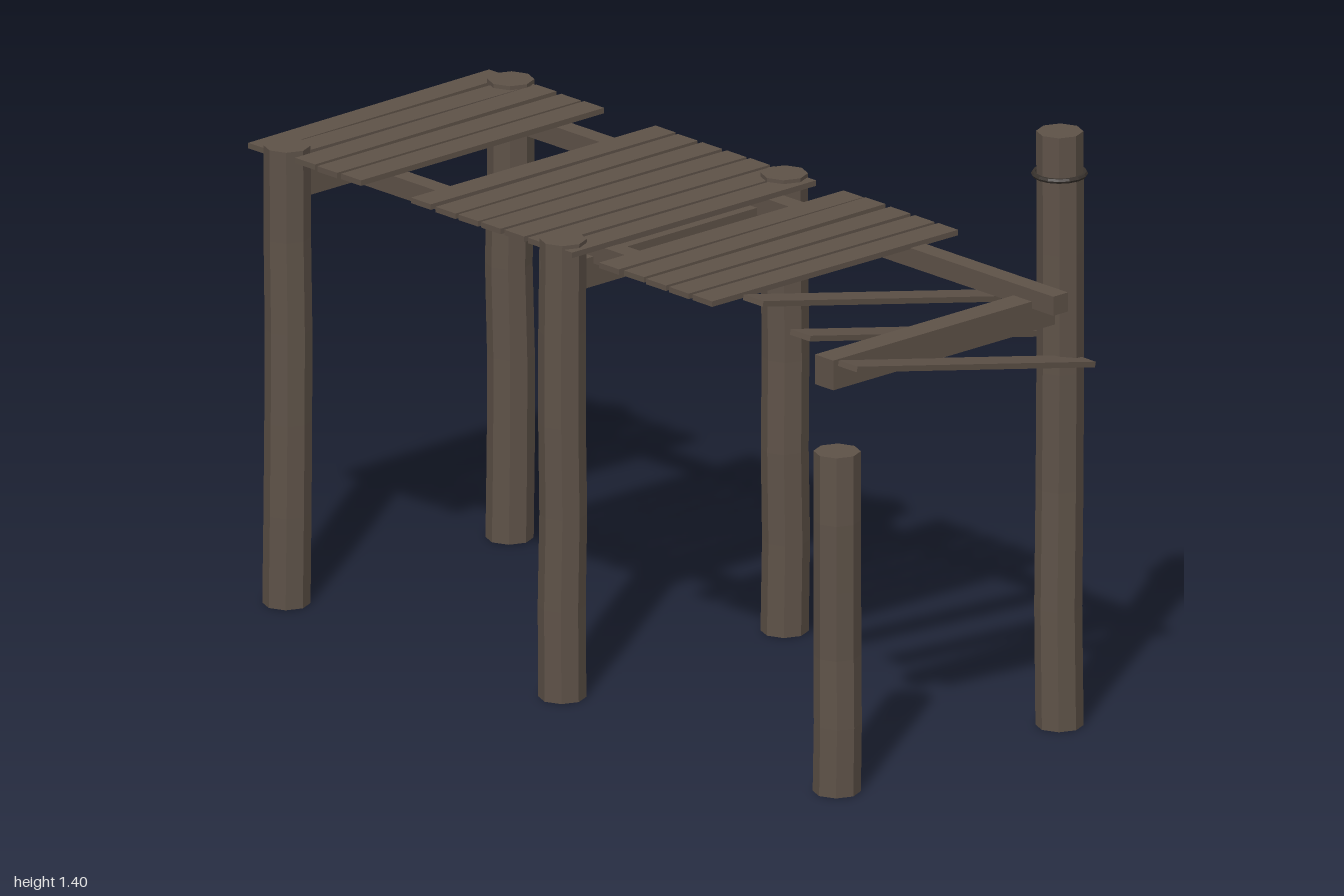
import * as THREE from 'three';

// small seeded random in -1..1
function seeded(seed) {
  let s = seed;
  return () => {
    s = (s * 16807) % 2147483647;
    return (s / 2147483647) * 2 - 1;
  };
}

export function createModel() {
  const pier = new THREE.Group();
  pier.name = 'brokenPier';
  const wood = new THREE.MeshStandardMaterial({ color: 0x5e5248, flatShading: true });
  wood.name = 'weatheredWood';
  const iron = new THREE.MeshStandardMaterial({ color: 0x38322d, flatShading: true });
  iron.name = 'darkBand';
  const rand = seeded(4711);

  function add(name, geometry, x, y, z, material = wood) {
    const mesh = new THREE.Mesh(geometry, material);
    mesh.name = name;
    mesh.position.set(x, y, z);
    pier.add(mesh);
    return mesh;
  }

  // eight-sided posts, each ring of corners shifted a little
  function post(name, x, z, height) {
    const rows = 5;
    const geo = new THREE.CylinderGeometry(0.053, 0.054, height, 8, rows);
    const shifts = Array.from({ length: rows + 1 }, () => [rand() * 0.003, rand() * 0.003]);
    const p = geo.attributes.position;
    for (let i = 0; i < p.count; i++) {
      const row = Math.round((p.getY(i) / height + 0.5) * rows);
      p.setX(i, p.getX(i) + shifts[row][0]);
      p.setZ(i, p.getZ(i) + shifts[row][1]);
    }
    geo.computeVertexNormals();
    add(name, geo, x, height / 2, z);
  }
  for (const x of [-0.9, 0]) {
    post('frontPost', x, 0.34, 1.08);
    post('backPost', x, -0.34, 1.08);
  }
  post('brokenPost', 0.9, 0.34, 0.8);
  post('tallPost', 0.9, -0.34, 1.4);

  // band round the tall post
  const band = add('postBand', new THREE.TorusGeometry(0.058, 0.006, 6, 16), 0.9, 1.3, -0.34, iron);
  band.rotation.x = Math.PI / 2;

  // cross beams between the posts
  for (const x of [-0.9, 0, 0.9]) {
    add('crossBeam', new THREE.BoxGeometry(0.06, 0.07, 0.76), x, 0.995, 0);
  }

  // long beams; the front one is snapped off
  add('backStringer', new THREE.BoxGeometry(2, 0.045, 0.045), 0, 1.036, -0.25);
  const snapped = new THREE.Shape();
  [[-1, 0], [0.42, 0], [0.455, 0.02], [0.43, 0.03], [0.46, 0.045], [-1, 0.045]]
    .forEach(([x, y], i) => (i ? snapped.lineTo(x, y) : snapped.moveTo(x, y)));
  add('frontStringer', new THREE.ExtrudeGeometry(snapped, { depth: 0.045, bevelEnabled: false }),
    0, 1.0135, 0.2275);

  // deck planks with gaps where some are missing
  const missing = [5, 6, 14, 20, 22, 24];
  const fallen = { 21: 1.022, 23: 0.978, 25: 0.943 };
  for (let i = 0; i <= 25; i++) {
    if (missing.includes(i)) continue;
    const x = -0.966 + i * 0.077;
    const loose = i in fallen;
    const plank = add(loose ? 'loosePlank' : 'deckPlank', new THREE.BoxGeometry(0.065, 0.013, 0.745),
      x, loose ? fallen[i] : 1.0635 + rand() * 0.002, 0);
    if (loose) plank.rotation.x = -0.21;
    else plank.rotation.y = rand() * 0.012;
  }

  return pier;
}
